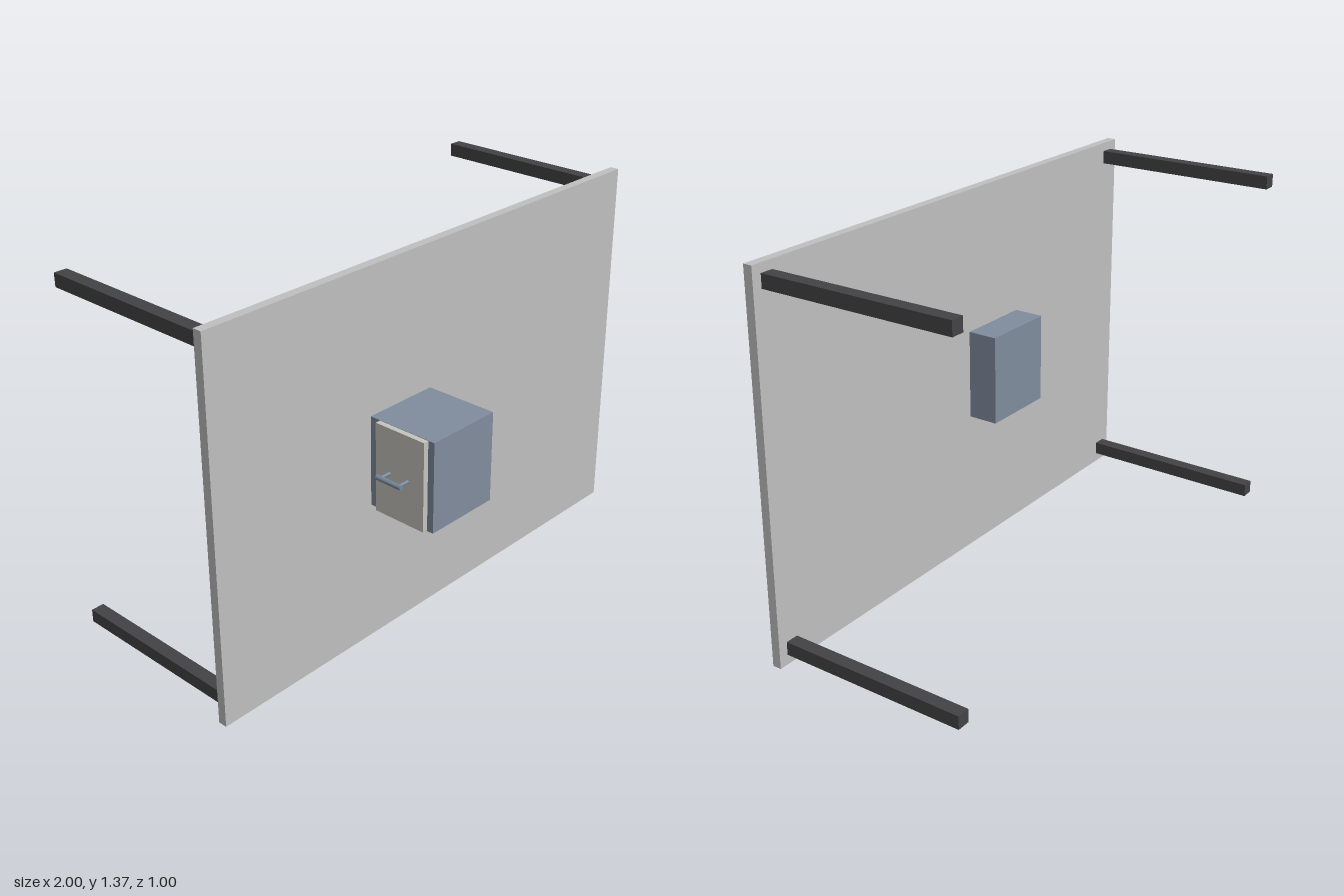
import * as THREE from 'three';

export function createModel() {
  const model = new THREE.Group();
  const material = (name, color) => {
    const m = new THREE.MeshStandardMaterial({ color });
    m.name = name;
    return m;
  };
  const grey = material('top grey', 0xbfbfbf);
  const black = material('leg black', 0x434346);
  const blue = material('cabinet blue grey', 0x808c9e);
  const pale = material('drawer pale grey', 0xc6c4bf);
  const steel = material('handle steel', 0x77889a);

  // Box given by its lower and upper limits on each axis
  const box = (name, mat, [x0, x1], [y0, y1], [z0, z1], parent = model) => {
    const mesh = new THREE.Mesh(new THREE.BoxGeometry(x1 - x0, y1 - y0, z1 - z0), mat);
    mesh.position.set((x0 + x1) / 2, (y0 + y1) / 2, (z0 + z1) / 2);
    mesh.name = name;
    parent.add(mesh);
  };

  // Table top standing on its long edge, with four legs to the back
  box('tableTop', grey, [-1, 1], [0, 1.366], [0.197, 0.23]);
  for (const side of [-1, 1]) {
    for (const y of [0.06, 1.31]) {
      const x = side * 0.941;
      box('leg', black, [x - 0.024, x + 0.024], [y - 0.024, y + 0.024], [-0.5, 0.197]);
    }
  }

  // Cabinet passing through the top, with a drawer front on its right side
  box('cabinet', blue, [-0.325, -0.036], [0.522, 0.85], [0.085, 0.5]);
  box('drawerFront', pale, [-0.345, -0.325], [0.525, 0.849], [0.27, 0.475]);

  // Bar handle on two posts
  const handle = new THREE.Group();
  handle.name = 'handle';
  handle.position.set(-0.345, 0.687, 0.369);
  const rod = (name, radius, length) => {
    const mesh = new THREE.Mesh(new THREE.CylinderGeometry(radius, radius, length, 16), steel);
    mesh.name = name;
    handle.add(mesh);
    return mesh;
  };
  const bar = rod('handleBar', 0.009, 0.106);
  bar.rotation.x = Math.PI / 2;
  bar.position.x = -0.045;
  for (const side of [-1, 1]) {
    const post = rod('handlePost', 0.006, 0.045);
    post.rotation.z = Math.PI / 2;
    post.position.set(-0.0225, 0, side * 0.039);
  }
  model.add(handle);

  return model;
}
